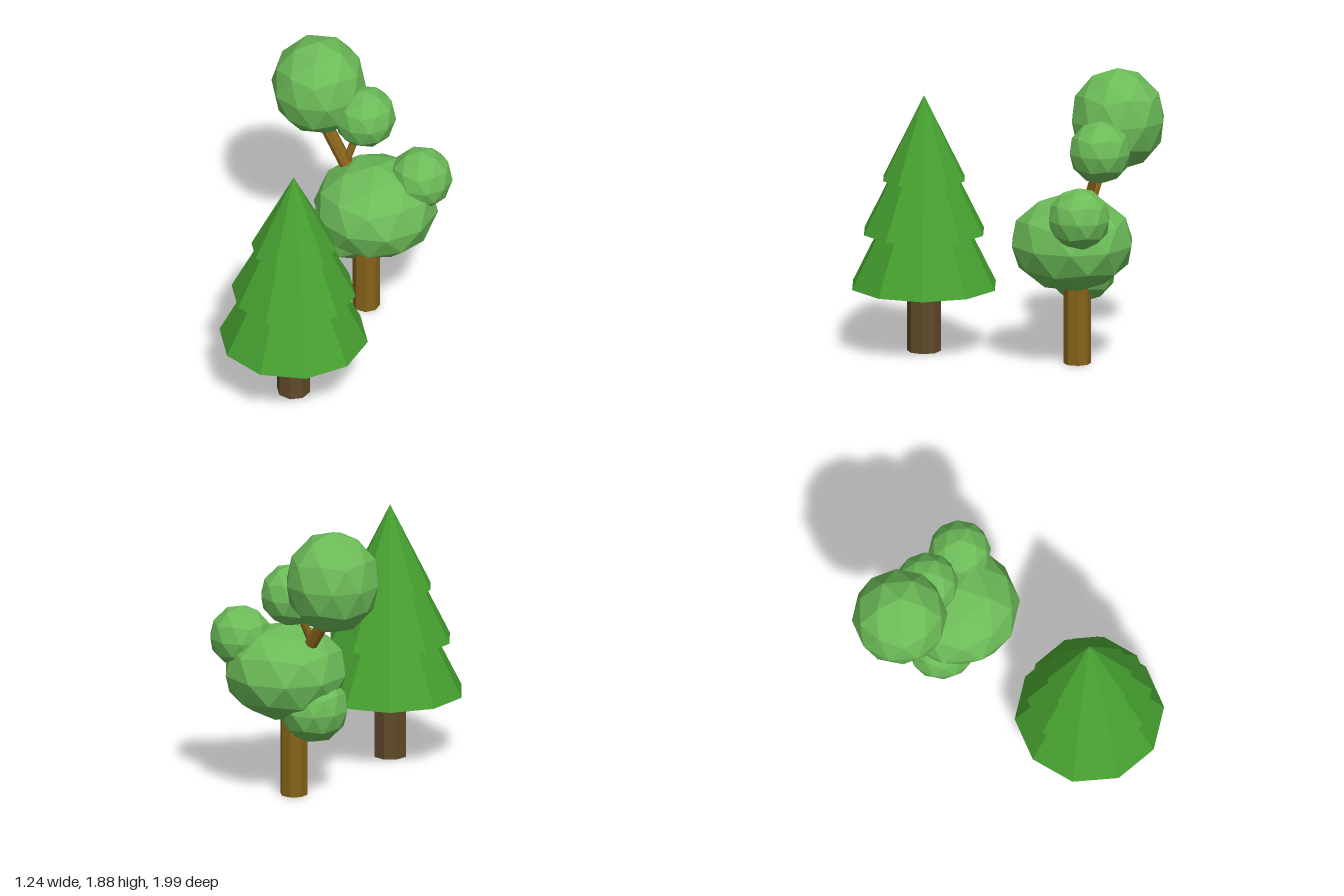
import * as THREE from 'three';

const mat = (color) => new THREE.MeshStandardMaterial({ color, flatShading: true });

export function createModel() {
  const model = new THREE.Group();
  const pineLeaf = mat(0x46a030), pineBark = mat(0x5f4a2a);
  const leaf = mat(0x6cbb58), bark = mat(0x86621a);

  const add = (parent, name, geometry, material, x, y, z) => {
    const mesh = new THREE.Mesh(geometry, material);
    mesh.name = name;
    mesh.position.set(x, y, z);
    parent.add(mesh);
    return mesh;
  };

  // Pine: trunk and three stacked ten-sided cones
  const pine = new THREE.Group();
  pine.name = 'pineTree';
  pine.position.set(0.085, 0, 0.505);
  model.add(pine);
  add(pine, 'pineTrunk', new THREE.CylinderGeometry(0.11, 0.11, 0.405, 8), pineBark, 0, 0.2025, 0).rotation.y = 0.25;
  const tiers = [[0.435, 0.487, 0.97], [0.795, 0.407, 0.81], [1.147, 0.277, 0.555]];
  tiers.forEach(([base, radius, height], i) =>
    add(pine, 'pineTier' + (i + 1), new THREE.ConeGeometry(radius, height, 10), pineLeaf, 0, base + height / 2, 0));

  // Round tree: trunk, forked branch and faceted leaf clumps
  const tree = new THREE.Group();
  tree.name = 'roundTree';
  model.add(tree);
  add(tree, 'trunk', new THREE.CylinderGeometry(0.09, 0.09, 0.75, 8), bark, 0.085, 0.375, -0.55).rotation.y = Math.PI / 8;

  const branch = (name, from, to, radius) => {
    const a = new THREE.Vector3(...from), b = new THREE.Vector3(...to);
    const dir = b.clone().sub(a);
    const mid = a.clone().add(b).multiplyScalar(0.5);
    const mesh = add(tree, name, new THREE.CylinderGeometry(radius, radius, dir.length(), 8), bark, mid.x, mid.y, mid.z);
    mesh.quaternion.setFromUnitVectors(new THREE.Vector3(0, 1, 0), dir.normalize());
  };
  branch('mainBranch', [0.09, 0.81, -0.55], [-0.29, 1.37, -0.62], 0.045);
  branch('sideBranch', [-0.08, 1.05, -0.57], [0, 1.38, -0.67], 0.026);

  // Clumps: icosahedra turned so that one corner points straight up
  const clumpGeometry = new THREE.IcosahedronGeometry(1, 1);
  clumpGeometry.rotateZ(-Math.atan(2 / (1 + Math.sqrt(5))));
  const clumps = [
    ['mainClump', 0.16, 0.82, -0.54, 0.408, 0.32],
    ['topClump', -0.325, 1.545, -0.685, 0.312, 0.34],
    ['leftClump', 0.42, 1.042, -0.68, 0.205, 0.207],
    ['upperClump', 0.01, 1.398, -0.68, 0.205, 0.207],
    ['lowerClump', -0.06, 0.603, -0.53, 0.228, 0.228],
  ];
  for (const [name, x, y, z, r, ry] of clumps) add(tree, name, clumpGeometry, leaf, x, y, z).scale.set(r, ry, r);

  return model;
}
